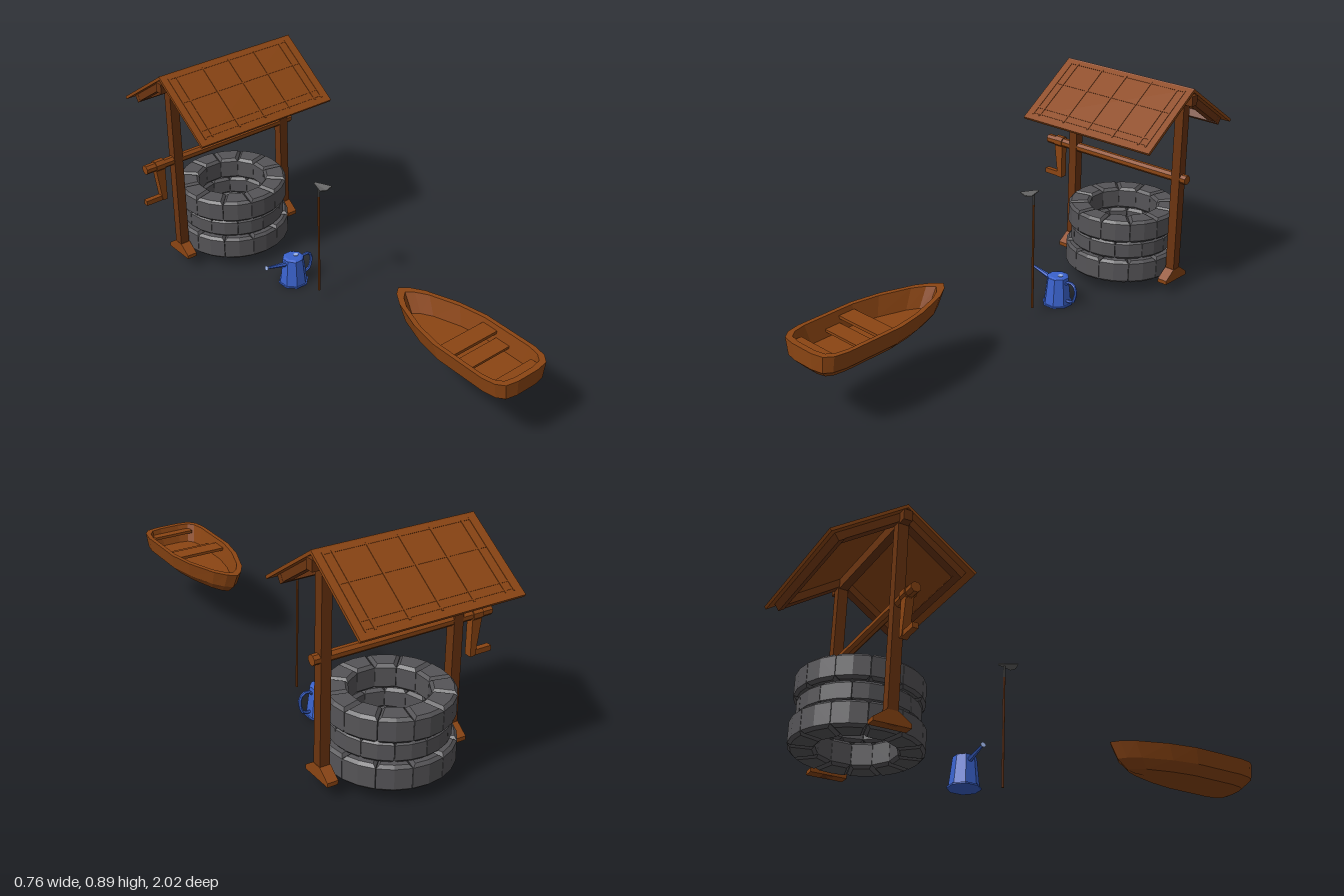
import * as THREE from 'three';

const paint = (color, side = THREE.FrontSide) => {
  const m = new THREE.MeshStandardMaterial({ color, flatShading: true, side });
  return m;
};
const wood = paint(0x8b4513), darkWood = paint(0x6b3410), stone = paint(0x555457);
const blue = paint(0x3a62cc), paleBlue = paint(0x9db4e8), metal = paint(0x666666, THREE.DoubleSide);
const CX = 0.053, WZ = -0.735; // common centre line and well depth

function add(parent, name, geometry, material, x = 0, y = 0, z = 0) {
  const mesh = new THREE.Mesh(geometry, material);
  mesh.name = name;
  mesh.position.set(x, y, z);
  parent.add(mesh);
  return mesh;
}
function group(parent, name, x = 0, y = 0, z = 0) {
  const g = new THREE.Group();
  g.name = name;
  g.position.set(x, y, z);
  parent.add(g);
  return g;
}
const box = (w, h, d) => new THREE.BoxGeometry(w, h, d);

// Profile drawn in a plane and extruded evenly about it
function slab(points, depth) {
  const shape = new THREE.Shape(points.map(p => new THREE.Vector2(...p)));
  return new THREE.ExtrudeGeometry(shape, { depth, bevelEnabled: false }).translate(0, 0, -depth / 2);
}

// Skin over closed rings that hold the same number of points
function loft(rings) {
  const n = rings[0].length, index = [];
  for (let j = 0; j < rings.length - 1; j++) {
    for (let i = 0; i < n; i++) {
      const a = j * n + i, b = j * n + (i + 1) % n;
      index.push(a, b, b + n, a, b + n, a + n);
    }
  }
  const g = new THREE.BufferGeometry();
  g.setAttribute('position', new THREE.Float32BufferAttribute(rings.flat(2), 3));
  g.setIndex(index);
  g.computeVertexNormals();
  return g;
}

// Three courses of bevelled wedge stones
function buildWall(parent) {
  const wall = group(parent, 'stoneWall');
  const courses = [[0.05, 0.1, 0.24], [0.15, 0.08, 0.22], [0.23, 0.096, 0.233]];
  const count = 12, bevel = 0.011;
  courses.forEach(([y, h, r], row) => {
    const half = Math.PI / count - 0.004, inner = 0.145;
    const at = (radius, a) => new THREE.Vector2(radius * Math.cos(a), radius * Math.sin(a));
    const shape = new THREE.Shape([at(r, -half), at(r, 0), at(r, half), at(inner, half), at(inner, -half)]);
    const geo = new THREE.ExtrudeGeometry(shape, {
      depth: h - 2 * bevel, bevelThickness: bevel, bevelSize: bevel, bevelOffset: -bevel, bevelSegments: 1,
    }).translate(0, 0, bevel).rotateX(-Math.PI / 2);
    for (let i = 0; i < count; i++) {
      const s = add(wall, 'stone', geo, stone, 0, y, 0);
      s.rotation.y = (i + row * 0.5) * 2 * Math.PI / count;
    }
  });
}

function buildWell(root) {
  const well = group(root, 'well', CX, 0, WZ);
  buildWall(well);

  // Posts and splayed feet
  const foot = slab([[-0.07, 0.05], [0.07, 0.05], [0.07, 0.066], [0.022, 0.102], [-0.022, 0.102], [-0.07, 0.066]], 0.043);
  foot.rotateY(Math.PI / 2);
  for (const s of [-1, 1]) {
    add(well, 'post', box(0.04, 0.82, 0.04), darkWood, s * 0.272, 0.46, 0);
    add(well, 'postFoot', foot, wood, s * 0.272, 0, 0);
  }
  add(well, 'ridgeBeam', box(0.655, 0.042, 0.034), darkWood, 0, 0.846, 0);

  // Roof slopes: thin sheet, raised battens and a frame beneath
  for (const s of [1, -1]) {
    const slope = group(well, 'roofSlope', 0, 0.896, 0);
    slope.rotation.order = 'YXZ';
    slope.rotation.set(0.6, s > 0 ? 0 : Math.PI, 0);
    add(slope, 'roofSheet', box(0.645, 0.012, 0.345), wood, 0, -0.008, 0.1725);
    for (const x of [-0.29, -0.255, -0.126, 0, 0.126, 0.255, 0.29])
      add(slope, 'batten', box(0.007, 0.01, 0.3), wood, x, -0.005, 0.17);
    for (const z of [0.025, 0.14, 0.28, 0.31])
      add(slope, 'crossBatten', box(0.585, 0.009, 0.006), wood, 0, -0.005, z);
    for (const x of [-0.272, 0.272])
      add(slope, 'rafter', box(0.04, 0.03, 0.3), darkWood, x, -0.028, 0.165);
    add(slope, 'purlin', box(0.585, 0.032, 0.025), darkWood, 0, -0.029, 0.305);
  }

  // Winding axle and crank
  const axle = new THREE.CylinderGeometry(0.02, 0.02, 0.74, 8).rotateZ(Math.PI / 2);
  add(well, 'axle', axle, wood, -0.053, 0.507, 0).rotation.x = Math.PI / 8;
  const crank = group(well, 'crank', -CX, 0, 0);
  const hub = new THREE.CylinderGeometry(0.025, 0.025, 0.042, 8).rotateZ(Math.PI / 2);
  add(crank, 'crankHub', hub, wood, -0.305, 0.508, 0).rotation.x = Math.PI / 8;
  add(crank, 'crankArm', slab([[-0.284, 0.346], [-0.284, 0.49], [-0.326, 0.49], [-0.306, 0.346]], 0.03), wood);
  add(crank, 'crankHandle', box(0.095, 0.021, 0.022), wood, -0.333, 0.356, 0);
}

// Hull lofted from one plan outline, up the outside and down the inside
function buildBoat(root) {
  const boat = group(root, 'boat', CX, 0, 0);
  const half = [[0, 0], [0.04, 0.032], [0.12, 0.066], [0.32, 0.113], [0.5, 0.135], [0.86, 0.135], [0.94, 0.124], [0.985, 0.1], [1, 0.05]];
  const plan = [...half.map(([u, w]) => [u, -w]), ...half.slice(1).reverse()];
  const ring = (y, width, bow, stern) => plan.map(([u, w]) => [w * width, y, bow + u * (stern - bow)]);
  add(boat, 'hull', loft([
    ring(0.215, 0, 0.45, 0.95), ring(0.224, 0.64, 0.42, 0.965), ring(0.26, 0.91, 0.375, 0.998),
    ring(0.325, 1, 0.34, 1), ring(0.325, 0.87, 0.378, 0.978),
    ring(0.25, 0.76, 0.42, 0.955), ring(0.25, 0, 0.42, 0.955),
  ]), wood);
  add(boat, 'bench', box(0.226, 0.012, 0.07), wood, 0, 0.3, 0.71);
  add(boat, 'rearBench', box(0.218, 0.01, 0.065), wood, 0, 0.275, 0.78);
  add(boat, 'sternSeat', box(0.18, 0.012, 0.035), wood, 0, 0.3, 0.948);
}

function buildCan(root) {
  const can = group(root, 'wateringCan', 0.055, 0, -0.31);
  const ring = (r1, r2, h) => new THREE.CylinderGeometry(r1, r2, h, 8).rotateY(Math.PI / 8);
  add(can, 'canBase', ring(0.064, 0.064, 0.006), blue, 0, 0.003, 0);
  add(can, 'canBody', ring(0.045, 0.058, 0.117), blue, 0, 0.0635, 0);
  add(can, 'canTop', ring(0.034, 0.046, 0.005), blue, 0, 0.1235, 0);
  add(can, 'fillerHole', ring(0.011, 0.011, 0.003), paleBlue, 0.014, 0.127, 0);

  // Spout rising to the model's right, with its small rose
  const from = new THREE.Vector3(-0.038, 0.101, 0), to = new THREE.Vector3(-0.136, 0.124, 0);
  const dir = to.clone().sub(from);
  const turn = new THREE.Quaternion().setFromUnitVectors(new THREE.Vector3(0, 1, 0), dir.clone().normalize());
  const mid = from.clone().lerp(to, 0.5);
  add(can, 'spout', new THREE.CylinderGeometry(0.005, 0.011, dir.length(), 6), blue, mid.x, mid.y, 0).quaternion.copy(turn);
  add(can, 'rose', new THREE.CylinderGeometry(0.011, 0.006, 0.008, 8), paleBlue, to.x, to.y, 0).quaternion.copy(turn);

  const path = [[0.042, 0.098], [0.06, 0.111], [0.082, 0.107], [0.094, 0.09], [0.092, 0.052], [0.08, 0.028], [0.05, 0.024]];
  const curve = new THREE.CatmullRomCurve3(path.map(([x, y]) => new THREE.Vector3(x, y, 0)));
  add(can, 'canHandle', new THREE.TubeGeometry(curve, 9, 0.0065, 6), blue);
}

// Upright hoe with a flared blade
function buildHoe(root) {
  const hoe = group(root, 'hoe', 0.062, 0, -0.145);
  add(hoe, 'hoePole', new THREE.CylinderGeometry(0.0045, 0.005, 0.455, 8), wood, 0, 0.2675, 0);
  add(hoe, 'hoeSocket', new THREE.CylinderGeometry(0.004, 0.005, 0.05, 8), metal, 0, 0.518, 0);
  const blade = slab([[-0.005, 0.025], [-0.03, -0.045], [0, -0.05], [0.03, -0.045], [0.005, 0.025]], 0.004);
  blade.rotateX(-Math.PI / 2);
  const p = blade.attributes.position;
  // Outer corners curl slightly upward
  for (let i = 0; i < p.count; i++) p.setY(i, p.getY(i) + Math.abs(p.getX(i)) * 0.2);
  blade.computeVertexNormals();
  add(hoe, 'hoeBlade', blade, metal, 0, 0.543, 0);
}

export function createModel() {
  const root = new THREE.Group();
  root.name = 'gardenWellScene';
  buildWell(root);
  buildBoat(root);
  buildCan(root);
  buildHoe(root);
  return root;
}
